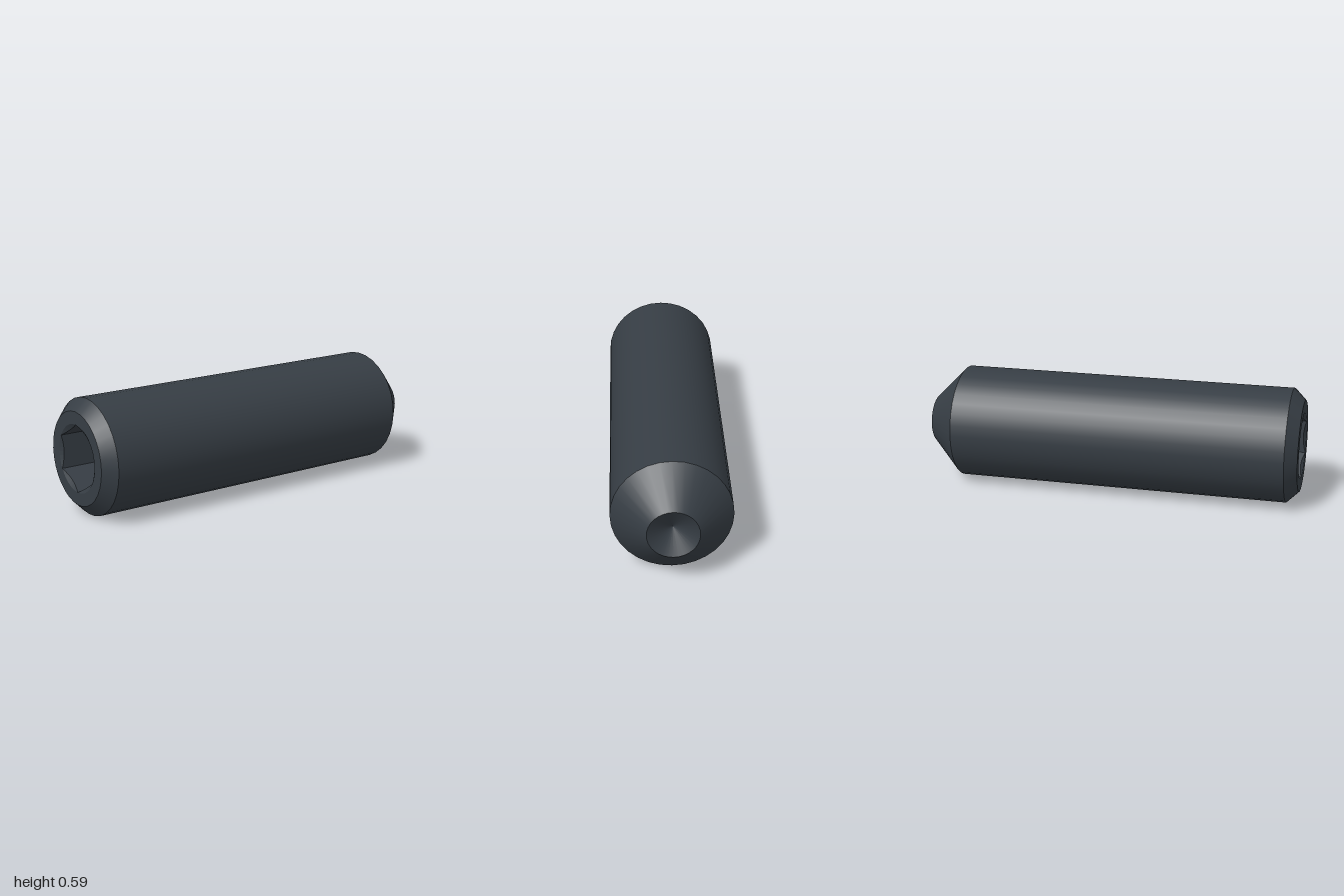
import * as THREE from 'three';

const RADIUS = 0.294;      // shank radius
const HEAD = -0.971;       // socket end along the axis
const TIP = 0.994;         // cup end along the axis
const MOUTH = 0.171;       // socket mouth radius
const APOTHEM = MOUTH * Math.cos(Math.PI / 6);
const SOCKET_DEPTH = 0.36;

// Distance from the axis to the hexagon wall at angle a
function hexRadius(a) {
  const s = Math.PI / 3;
  return APOTHEM / Math.cos(a - s * Math.round(a / s));
}

// Faceted surface through rings; each ring maps an angle to [radius, height]
function loft(rings, sides) {
  const pos = [], index = [], n = rings.length;
  for (let i = 0; i <= sides; i++) {
    const a = (i / sides) * Math.PI * 2;
    for (const ring of rings) {
      const [r, y] = ring(a);
      pos.push(r * Math.sin(a), y, r * Math.cos(a));
    }
  }
  for (let i = 0; i < sides; i++) {
    for (let j = 0; j < n - 1; j++) {
      const a = i * n + j, b = a + n;
      if (j > 0) index.push(a, b, a + 1);
      index.push(b + 1, a + 1, b);
    }
  }
  const g = new THREE.BufferGeometry();
  g.setAttribute('position', new THREE.Float32BufferAttribute(pos, 3));
  g.setIndex(index);
  const flat = g.toNonIndexed();
  flat.computeVertexNormals();
  return flat;
}

export function createModel() {
  const steel = new THREE.MeshStandardMaterial({ color: 0x363d44 });
  steel.name = 'black steel';

  const model = new THREE.Group();
  model.name = 'setScrew';
  const screw = new THREE.Group();
  screw.name = 'screwBody';

  const add = (name, geometry) => {
    const mesh = new THREE.Mesh(geometry, steel);
    mesh.name = name;
    screw.add(mesh);
  };
  // Each band is its own lathe, so edges between bands stay sharp
  const band = (name, r0, y0, r1, y1) => add(name, new THREE.LatheGeometry(
    [new THREE.Vector2(r0, y0), new THREE.Vector2(r1, y1)], 32));

  band('headFace', MOUTH, HEAD, 0.235, HEAD);
  band('headChamfer', 0.235, HEAD, RADIUS, -0.911);
  band('shank', RADIUS, -0.911, RADIUS, 0.826);
  band('pointTaper', RADIUS, 0.826, 0.125, TIP);
  band('cupPoint', 0.125, TIP, 0, TIP - 0.073);

  // Hexagon socket: drilled floor, flat walls and conical lead-in
  const floor = HEAD + SOCKET_DEPTH;
  add('hexSocket', loft([
    () => [0, floor + 0.08],
    (a) => [hexRadius(a), floor],
    (a) => [hexRadius(a), HEAD + (MOUTH - hexRadius(a)) * 0.58],
    () => [MOUTH, HEAD],
  ], 48));

  // Lay the axis along x, turned a little toward the front
  screw.rotation.set(0, -THREE.MathUtils.degToRad(12), -Math.PI / 2);
  screw.position.y = RADIUS;
  model.add(screw);
  return model;
}
